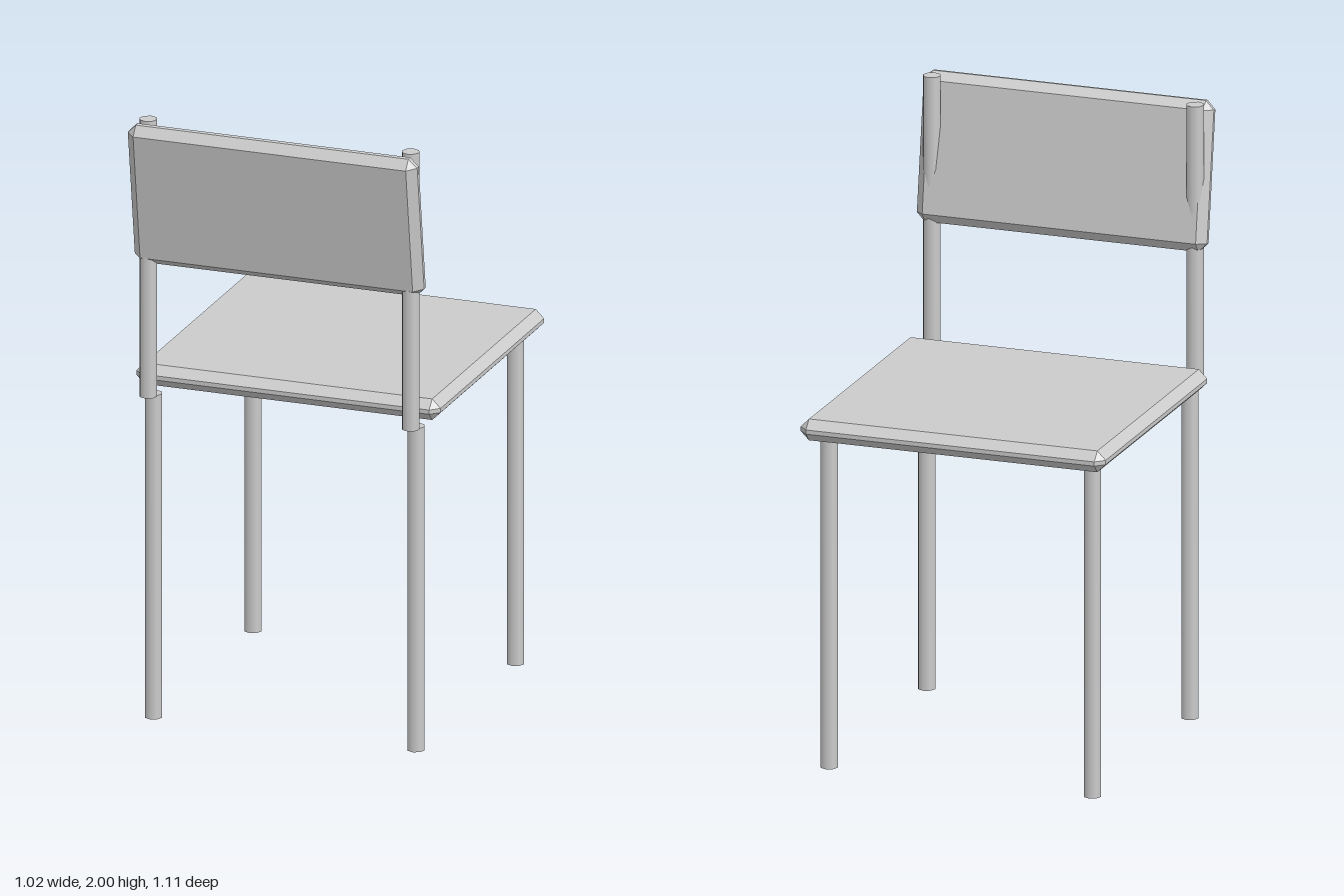
import * as THREE from 'three';
import { ConvexGeometry } from 'three/addons/geometries/ConvexGeometry.js';

// Box with every edge chamfered by b
function chamferedBox(w, h, d, b) {
  const points = [];
  for (const sx of [-1, 1]) for (const sy of [-1, 1]) for (const sz of [-1, 1]) {
    const x = sx * w / 2, y = sy * h / 2, z = sz * d / 2;
    points.push(
      new THREE.Vector3(x, y - sy * b, z - sz * b),
      new THREE.Vector3(x - sx * b, y, z - sz * b),
      new THREE.Vector3(x - sx * b, y - sy * b, z)
    );
  }
  return new ConvexGeometry(points);
}

export function createModel() {
  const chair = new THREE.Group();
  chair.name = 'chair';
  const grey = new THREE.MeshStandardMaterial({ color: 0xcccccc });
  grey.name = 'light grey';

  const add = (name, geometry, x, y, z) => {
    const mesh = new THREE.Mesh(geometry, grey);
    mesh.name = name;
    mesh.position.set(x, y, z);
    chair.add(mesh);
    return mesh;
  };

  // Thin upright rod between two heights
  const rod = (name, x, z, y0, y1) =>
    add(name, new THREE.CylinderGeometry(0.029, 0.029, y1 - y0, 8), x, (y0 + y1) / 2, z);

  // Seat and tilted backrest
  add('seat', chamferedBox(1.02, 0.07, 0.97, 0.028), 0, 1.123, -0.07);
  add('backrest', chamferedBox(0.97, 0.482, 0.07, 0.028), 0, 1.76, 0.49).rotation.x = 0.145;

  // Legs and back posts, mirrored left and right
  for (const [side, x] of [['left', 0.44], ['right', -0.44]]) {
    rod(side + 'LegUnderBackrest', x, 0.42, 0, 1.075);
    rod(side + 'LegUnderSeatEdge', x, -0.458, 0, 1.075);
    rod(side + 'BackPost', x, 0.466, 1.08, 2);
  }
  return chair;
}
